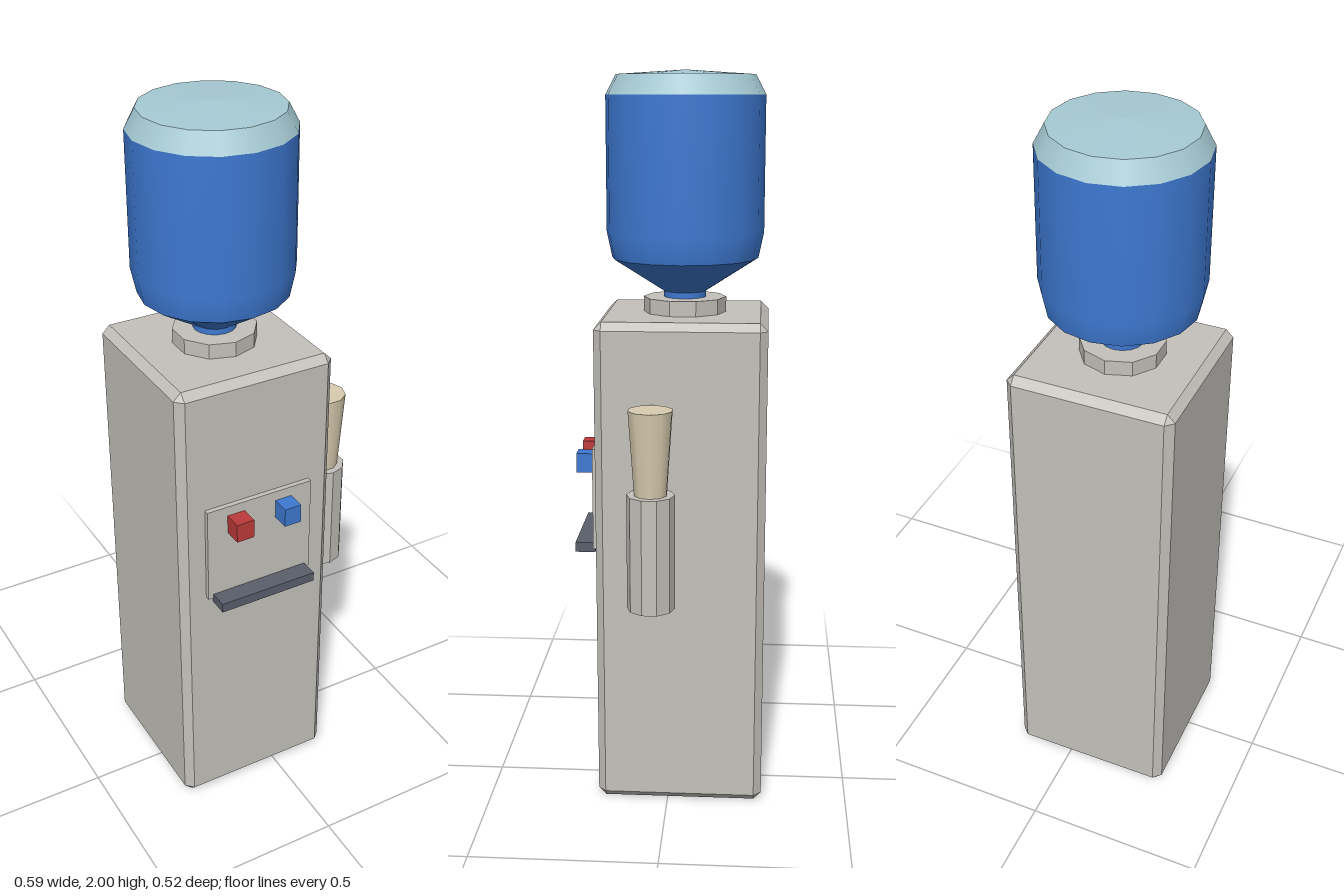
import * as THREE from 'three';
import { ConvexGeometry } from 'three/addons/geometries/ConvexGeometry.js';

const material = (name, color, opts = {}) => {
  const m = new THREE.MeshStandardMaterial({ color, ...opts });
  m.name = name;
  return m;
};

// Box with every edge cut by a single flat chamfer
function chamferedBox(w, h, d, c) {
  const pts = [];
  for (const sx of [-1, 1]) for (const sy of [-1, 1]) for (const sz of [-1, 1]) {
    const x = w / 2, y = h / 2, z = d / 2;
    pts.push(
      new THREE.Vector3(sx * x, sy * (y - c), sz * (z - c)),
      new THREE.Vector3(sx * (x - c), sy * y, sz * (z - c)),
      new THREE.Vector3(sx * (x - c), sy * (y - c), sz * z));
  }
  return new ConvexGeometry(pts);
}

export function createModel() {
  const model = new THREE.Group();
  model.name = 'waterCooler';

  const grey = material('casing grey', 0xc4c1bb, { flatShading: true });
  const blue = material('bottle blue', 0x3e79d2);
  const pale = material('bottle base pale blue', 0xa6cad4);
  const cream = material('cup cream', 0xd8ccb0);
  const slate = material('tray slate', 0x595f6b);
  const red = material('hot tap red', 0xbc3a3a);

  const add = (name, geometry, mat, x = 0, y = 0, z = 0) => {
    const mesh = new THREE.Mesh(geometry, mat);
    mesh.name = name;
    mesh.position.set(x, y, z);
    model.add(mesh);
    return mesh;
  };
  // Box given by its limits on each axis
  const addBox = (name, mat, [x0, x1], [y0, y1], [z0, z1]) =>
    add(name, new THREE.BoxGeometry(x1 - x0, y1 - y0, z1 - z0), mat,
      (x0 + x1) / 2, (y0 + y1) / 2, (z0 + z1) / 2);

  // Casing and the collar that holds the bottle
  const cx = -0.067, cz = -0.034;
  add('casing', chamferedBox(0.458, 1.355, 0.458, 0.021), grey, cx, 0.6825, cz);
  add('collar', new THREE.CylinderGeometry(0.113, 0.113, 0.045, 10), grey, cx, 1.3785, cz);

  // Upturned bottle: separate lathes keep the ring edges crisp
  const addLathe = (name, mat, profile) =>
    add(name, new THREE.LatheGeometry(profile.map(p => new THREE.Vector2(...p)), 16), mat, cx, 0, cz);
  addLathe('bottleNeck', blue, [[0.058, 1.39], [0.058, 1.417]]);
  addLathe('bottleCone', blue, [[0.058, 1.417], [0.199, 1.507]]);
  addLathe('bottleBody', blue, [[0.199, 1.507], [0.2135, 1.576], [0.2135, 1.936]]);
  addLathe('bottleShoulder', pale, [[0.2135, 1.936], [0.186, 1.988]]);
  addLathe('bottleBase', pale, [[0.186, 1.988], [0, 2.0]]);

  // Front panel, taps and drip tray
  addBox('frontPanel', grey, [-0.225, 0.09], [0.72, 1.003], [0.19, 0.209]);
  addBox('hotTap', red, [-0.165, -0.114], [0.921, 0.975], [0.205, 0.26]);
  addBox('coldTap', blue, [-0.02, 0.029], [0.921, 0.975], [0.205, 0.26]);
  addBox('dripTray', slate, [-0.21, 0.076], [0.706, 0.733], [0.205, 0.26]);

  // Cup dispenser on the left side
  const hx = 0.233, hz = 0.038;
  addBox('holderBracket', grey, [0.155, 0.19], [0.72, 0.76], [0.017, 0.058]);
  add('cupHolder', new THREE.CylinderGeometry(0.064, 0.064, 0.315, 10), grey, hx, 0.7625, hz);
  const cups = add('cupStack', new THREE.CylinderGeometry(0.06, 0.043, 0.247, 10), cream, hx, 1.0235, hz);
  cups.rotation.y = Math.PI / 10;

  return model;
}
